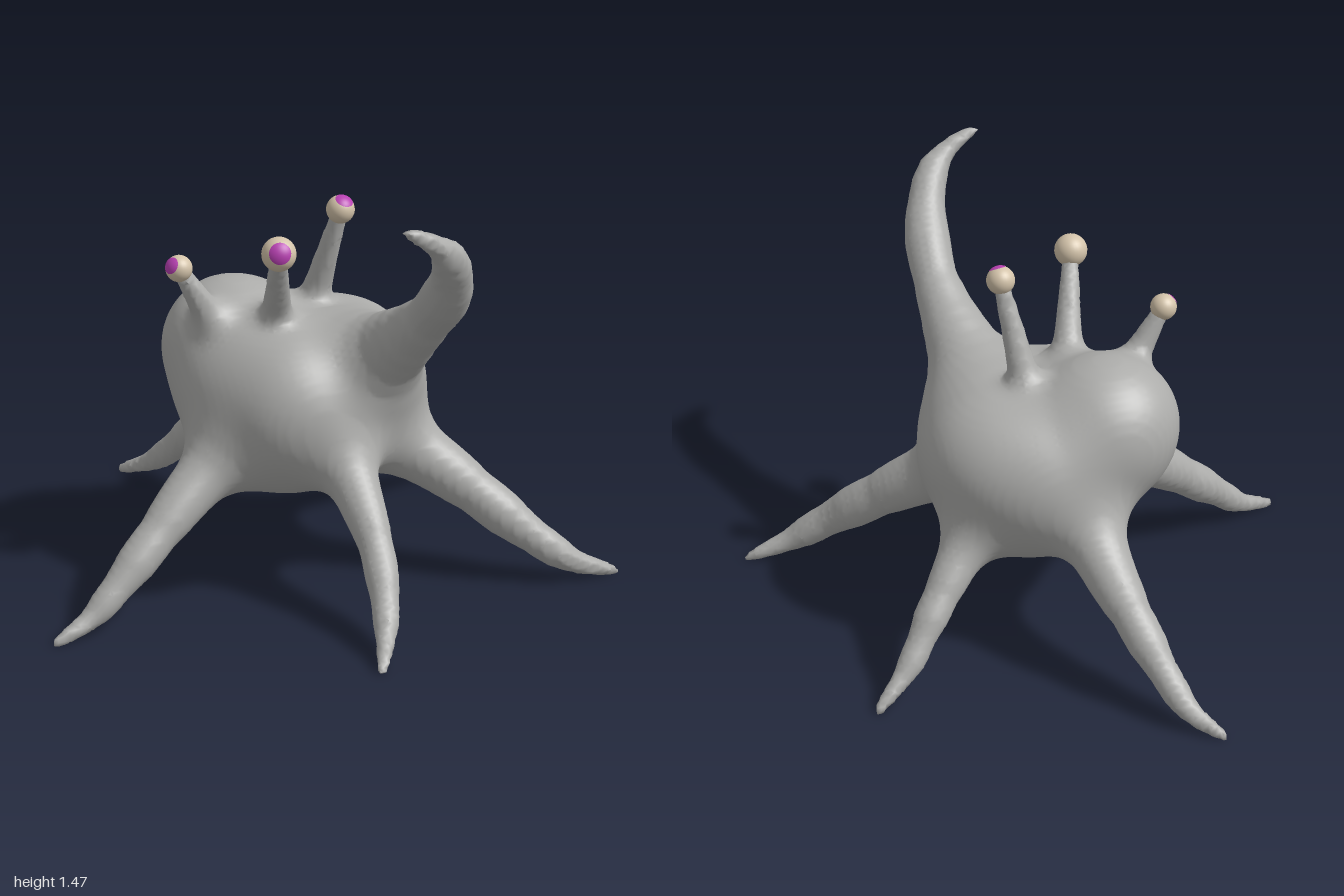
import * as THREE from 'three';

const skin = new THREE.MeshStandardMaterial({ color: 0xacacaa });
skin.name = 'grey skin';
const eyeCream = new THREE.MeshStandardMaterial({ color: 0xd3c3aa });
eyeCream.name = 'eye cream';
const pupilPurple = new THREE.MeshStandardMaterial({ color: 0xb840b2 });
pupilPurple.name = 'pupil purple';

// Overlapping balls that make the lumpy trunk: x, y, z, radius
const BALLS = [
  [-0.14, 0.75, -0.1, 0.27],
  [-0.2, 0.82, -0.14, 0.205],
  [-0.2, 0.64, 0.02, 0.215],
  [0.17, 0.66, 0.02, 0.28],
  [0.2, 0.69, -0.08, 0.225],
  [0.18, 0.69, 0.17, 0.205],
  [-0.05, 0.65, 0.13, 0.3],
  [0.05, 0.64, -0.12, 0.28],
  [-0.08, 0.56, 0.04, 0.225],
  [0.1, 0.55, -0.06, 0.225],
];

// Tentacle centre lines, base to tip: x, y, z, radius
const TENTACLES = [
  [[-0.26, 0.53, 0.12, 0.125], [-0.43, 0.425, 0.18, 0.092], [-0.6, 0.29, 0.25, 0.073], [-0.76, 0.155, 0.31, 0.056], [-0.86, 0.075, 0.34, 0.04], [-0.995, 0.026, 0.38, 0.017]],
  [[0.25, 0.53, 0.2, 0.125], [0.4, 0.43, 0.29, 0.1], [0.53, 0.325, 0.38, 0.083], [0.69, 0.185, 0.49, 0.065], [0.83, 0.085, 0.545, 0.045], [0.99, 0.026, 0.56, 0.017]],
  [[0.04, 0.56, 0.28, 0.11], [0.045, 0.43, 0.47, 0.08], [0.05, 0.29, 0.62, 0.06], [0.025, 0.16, 0.75, 0.05], [-0.015, 0.08, 0.85, 0.036], [-0.07, 0.026, 0.95, 0.017]],
  [[-0.05, 0.56, -0.26, 0.12], [-0.08, 0.43, -0.46, 0.093], [-0.13, 0.31, -0.6, 0.072], [-0.19, 0.18, -0.74, 0.056], [-0.25, 0.08, -0.86, 0.04], [-0.34, 0.026, -0.955, 0.017]],
  [[0.27, 0.52, -0.13, 0.1], [0.4, 0.38, -0.24, 0.073], [0.51, 0.25, -0.33, 0.057], [0.61, 0.12, -0.41, 0.043], [0.735, 0.026, -0.495, 0.017]],
  [[0.17, 0.78, 0.2, 0.17], [0.205, 0.89, 0.35, 0.13], [0.235, 1.0, 0.49, 0.094], [0.25, 1.1, 0.61, 0.08], [0.235, 1.24, 0.755, 0.077], [0.18, 1.365, 0.855, 0.054], [0.1, 1.435, 0.895, 0.033], [0.015, 1.48, 0.905, 0.017]],
];

// Eyes: centre, radius, foot of the stalk, pupil direction
const EYES = [
  { at: [-0.42, 1.145, 0.01], r: 0.046, foot: [-0.3, 0.94, 0.0], look: [-0.75, 0.42, 0.32] },
  { at: [-0.175, 1.255, 0.305], r: 0.058, foot: [-0.1, 0.95, 0.09], look: [-0.25, 0.32, 0.88] },
  { at: [0.145, 1.303, 0.06], r: 0.049, foot: [0.085, 0.93, -0.05], look: [0.12, 0.75, 0.4] },
];

// Smooth chain of points with gently rippled thickness
function tentacleChain(points) {
  const curve = new THREE.CatmullRomCurve3(points.map((p) => new THREE.Vector3(p[0], p[1], p[2])));
  const steps = 18, chain = [];
  for (let i = 0; i <= steps; i++) {
    const t = i / steps, f = t * (points.length - 1);
    const n = Math.min(Math.floor(f), points.length - 2);
    const r = THREE.MathUtils.lerp(points[n][3], points[n + 1][3], f - n);
    const c = curve.getPoint(t);
    const ripple = t > 0.3 && t < 0.95 ? 0.06 * Math.sin(i * 1.6) : 0;
    chain.push([c.x, c.y, c.z, r * (1 + ripple)]);
  }
  return chain;
}

function chainDistance(chain, x, y, z) {
  let best = 9;
  for (let i = 0; i < chain.length - 1; i++) {
    const a = chain[i], b = chain[i + 1];
    const dx = b[0] - a[0], dy = b[1] - a[1], dz = b[2] - a[2];
    const px = x - a[0], py = y - a[1], pz = z - a[2];
    const t = Math.max(0, Math.min(1, (px * dx + py * dy + pz * dz) / (dx * dx + dy * dy + dz * dz)));
    const ex = px - dx * t, ey = py - dy * t, ez = pz - dz * t;
    best = Math.min(best, Math.sqrt(ex * ex + ey * ey + ez * ez) - a[3] - (b[3] - a[3]) * t);
  }
  return best;
}

function blend(a, b, k) {
  const h = Math.max(k - Math.abs(a - b), 0);
  return Math.min(a, b) - (h * h) / (4 * k);
}

// Distance to the whole skin: trunk, tentacles and eye stalks melted together
function makeField() {
  const arms = TENTACLES.map(tentacleChain);
  const stalks = EYES.map(({ at, foot }) => [[...foot, 0.055], [...at, 0.027]]);
  return (x, y, z) => {
    let d = 9;
    for (const b of BALLS) d = blend(d, Math.hypot(x - b[0], y - b[1], z - b[2]) - b[3], 0.1);
    for (const arm of arms) d = blend(d, chainDistance(arm, x, y, z), 0.12);
    for (const stalk of stalks) d = blend(d, chainDistance(stalk, x, y, z), 0.06);
    return d;
  };
}

// Mesh the zero surface of the field: one vertex per crossed cell, one quad per crossed edge
function skinGeometry(field) {
  const h = 0.02, min = [-1.06, -0.06, -1.04], size = [107, 82, 103];
  const stride = [1, size[0], size[0] * size[1]];
  const values = new Float32Array(size[0] * size[1] * size[2]);
  const eachCell = (from, to, visit) => {
    for (let k = from; k < size[2] - to; k++)
      for (let j = from; j < size[1] - to; j++)
        for (let i = from; i < size[0] - to; i++) visit([i, j, k], i + j * stride[1] + k * stride[2]);
  };
  eachCell(0, 0, (c, id) => {
    values[id] = field(min[0] + c[0] * h, min[1] + c[1] * h, min[2] + c[2] * h);
  });

  const vertexOf = new Int32Array(values.length).fill(-1);
  const positions = [], index = [];
  eachCell(0, 1, (c, id) => {
    if (Math.abs(values[id]) > h * 3) return;
    const sum = [0, 0, 0];
    let count = 0;
    for (let corner = 0; corner < 8; corner++) {
      const bit = [corner & 1, (corner >> 1) & 1, corner >> 2];
      const p = id + bit[0] + bit[1] * stride[1] + bit[2] * stride[2];
      for (let a = 0; a < 3; a++) {
        if (bit[a]) continue;
        const v0 = values[p], v1 = values[p + stride[a]];
        if (v0 < 0 === v1 < 0) continue;
        for (let n = 0; n < 3; n++) sum[n] += bit[n] + (n === a ? v0 / (v0 - v1) : 0);
        count++;
      }
    }
    if (!count) return;
    vertexOf[id] = positions.length / 3;
    for (let n = 0; n < 3; n++) positions.push(min[n] + (c[n] + sum[n] / count) * h);
  });
  eachCell(1, 1, (c, id) => {
    for (let a = 0; a < 3; a++) {
      const inside = values[id] < 0;
      if (inside === values[id + stride[a]] < 0) continue;
      const u = stride[(a + 1) % 3], v = stride[(a + 2) % 3];
      const q = [id - u - v, id - v, id, id - u].map((n) => vertexOf[n]);
      if (!inside) q.reverse();
      index.push(q[0], q[1], q[2], q[0], q[2], q[3]);
    }
  });

  const geometry = new THREE.BufferGeometry();
  geometry.setAttribute('position', new THREE.Float32BufferAttribute(positions, 3));
  geometry.setIndex(index);
  geometry.computeVertexNormals();
  return geometry;
}

// Eyeball with a thin coloured cap as the pupil
function makeEye({ at, r, look }) {
  const eye = new THREE.Group();
  eye.name = 'eye';
  const ball = new THREE.Mesh(new THREE.SphereGeometry(r, 28, 20), eyeCream);
  ball.name = 'eyeball';
  const pupil = new THREE.Mesh(new THREE.SphereGeometry(r + 0.0015, 28, 8, 0, Math.PI * 2, 0, 0.66), pupilPurple);
  pupil.name = 'pupil';
  pupil.quaternion.setFromUnitVectors(new THREE.Vector3(0, 1, 0), new THREE.Vector3(...look).normalize());
  eye.add(ball, pupil);
  eye.position.set(...at);
  return eye;
}

export function createModel() {
  const model = new THREE.Group();
  model.name = 'tentacled creature';
  const body = new THREE.Mesh(skinGeometry(makeField()), skin);
  body.name = 'body with tentacles and eye stalks';
  model.add(body, ...EYES.map(makeEye));
  return model;
}
